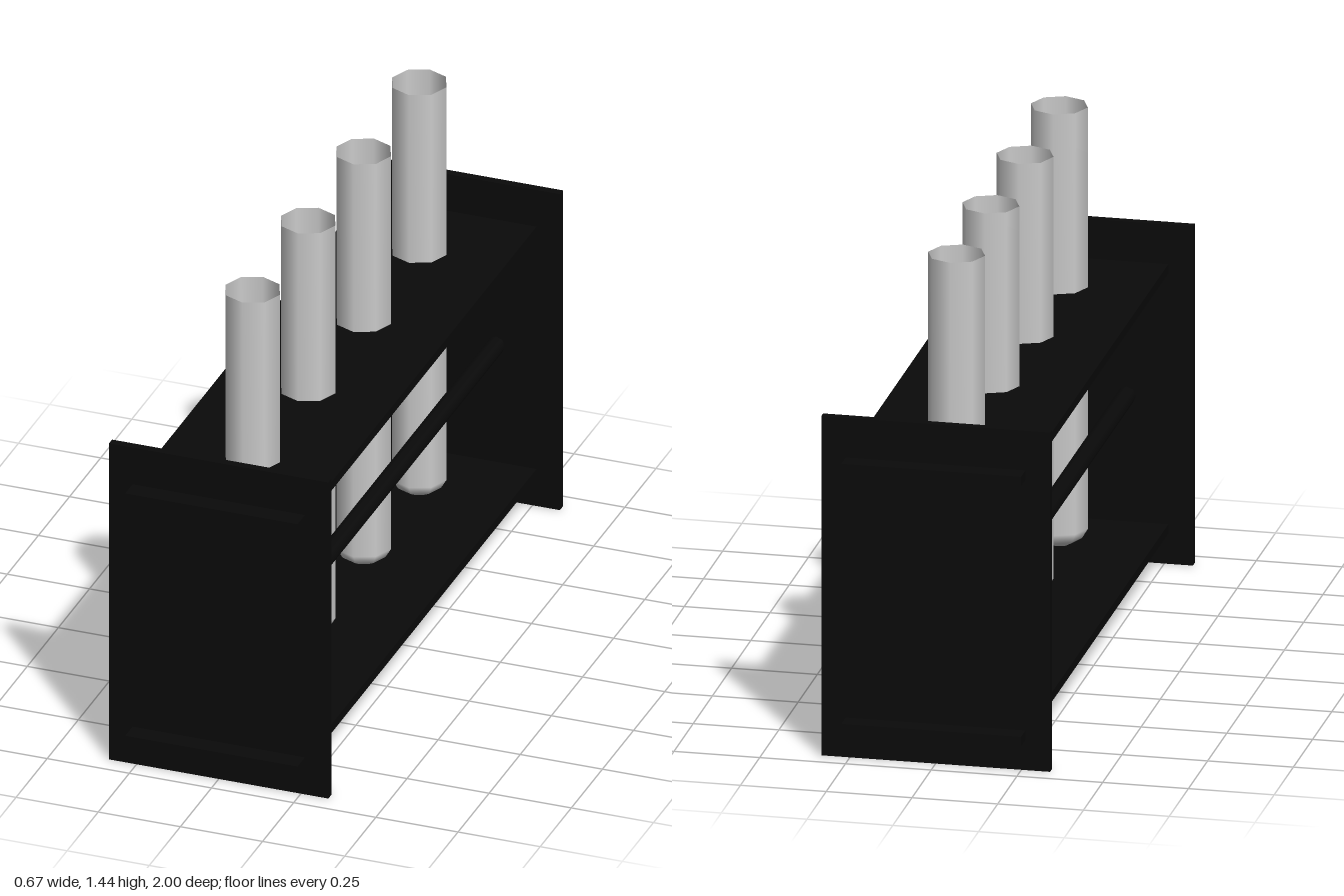
import * as THREE from 'three';

export function createModel() {
  const rack = new THREE.Group();
  rack.name = 'testTubeRack';

  const black = new THREE.MeshStandardMaterial({ color: 0x0a0a0a });
  const glass = new THREE.MeshStandardMaterial({ color: 0xcccccc, side: THREE.DoubleSide });

  const add = (name, geometry, material, x, y, z) => {
    const mesh = new THREE.Mesh(geometry, material);
    mesh.name = name;
    mesh.position.set(x, y, z);
    rack.add(mesh);
    return mesh;
  };

  // Upright panels at both ends
  const panel = new THREE.BoxGeometry(0.667, 1.02, 0.024);
  add('frontPanel', panel, black, 0, 0.51, 0.93);
  add('backPanel', panel, black, 0, 0.51, -0.93);

  // Shelves, their ends passing through the panels
  const shelf = new THREE.BoxGeometry(0.524, 0.028, 2);
  add('topShelf', shelf, black, 0, 0.887, 0);
  add('bottomShelf', shelf, black, 0, 0.105, 0);

  // Round rails on either side of the tubes
  const rail = new THREE.CylinderGeometry(0.027, 0.027, 1.84, 8).rotateX(Math.PI / 2);
  add('leftRail', rail, black, 0.14, 0.497, 0.003);
  add('rightRail', rail, black, -0.14, 0.497, 0.003);

  // Open tubes with rounded bottoms
  const profile = [
    [0, 0.123], [0.035, 0.128], [0.066, 0.146], [0.083, 0.175], [0.083, 1.442],
  ].map(([r, y]) => new THREE.Vector2(r, y));
  const tube = new THREE.LatheGeometry(profile, 8);
  for (let i = 0; i < 4; i++) {
    add('testTube' + (i + 1), tube, glass, 0, 0, 0.669 - i * 0.446);
  }

  return rack;
}
